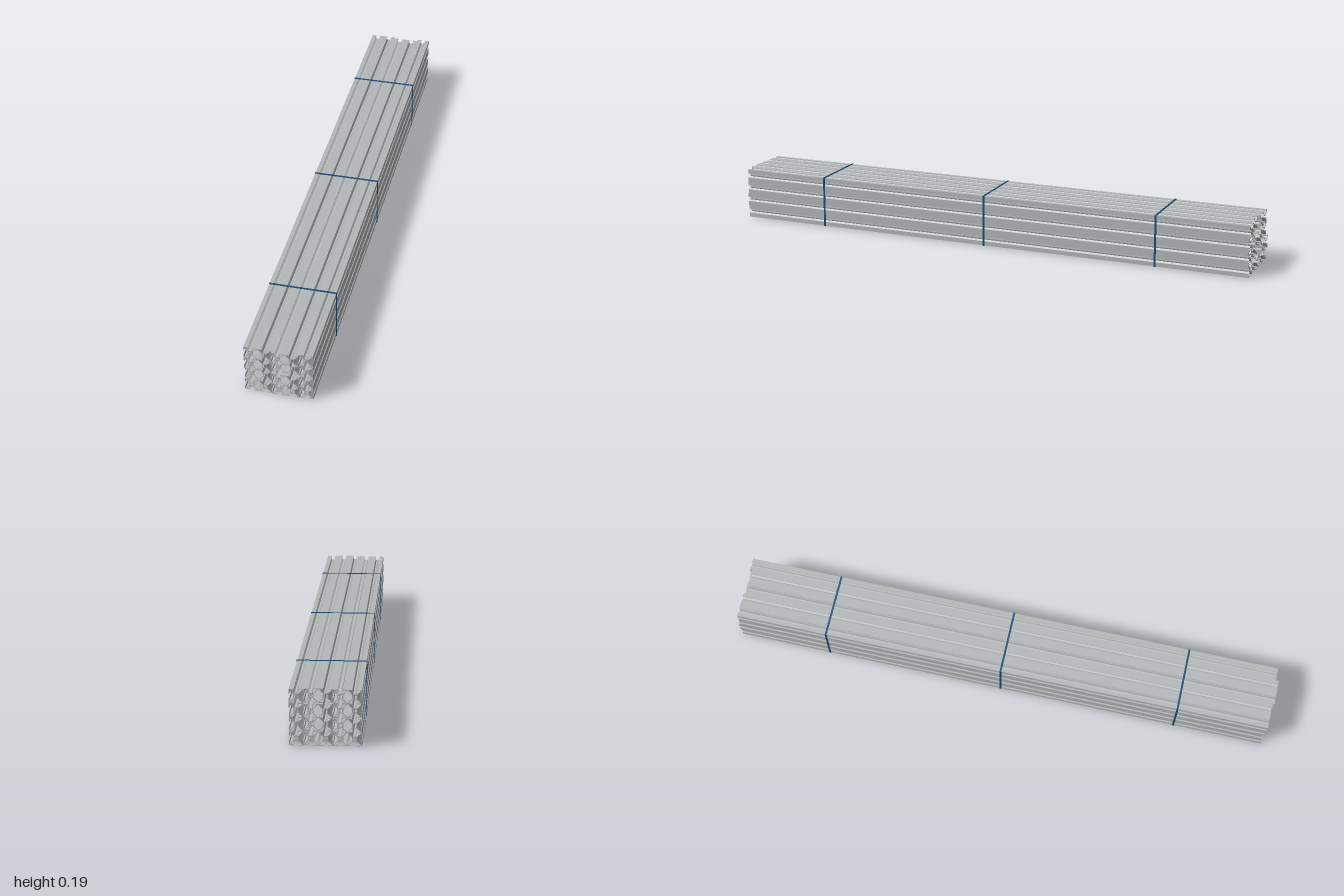
import * as THREE from 'three';
import { toCreasedNormals } from 'three/addons/utils/BufferGeometryUtils.js';

const H = 0.0234;        // half the pitch of one profile cell
const SLOT = 0.008;      // half the slot opening
const LIP = 0.002;       // lip thickness
const ARM = 0.0013;      // half the diagonal arm thickness
const CORE = 0.0092;     // core tube outer radius
const BORE = 0.0063;     // core tube inner radius
const D = ARM * Math.SQRT2;
const STRAP = 0.0015;    // strap thickness

const mirrorX = (pts) => pts.map(([x, y]) => [-x, y]).reverse();
const swapXY = (pts) => pts.map(([x, y]) => [y, x]).reverse();
const shift = (pts, dx) => pts.map(([x, y]) => [x + dx, y]);

function arc(from, to, steps) {
  return Array.from({ length: steps + 1 }, (_, i) => {
    const a = from + (to - from) * i / steps;
    return [CORE * Math.cos(a), CORE * Math.sin(a)];
  });
}

// Section of a slotted bar that is `cells` cells wide
function profileShape(cells) {
  const spread = Math.asin(ARM / CORE);
  const centre = (i) => (i - (cells - 1) / 2) * 2 * H;
  // One eighth of a cell: core, diagonal arm, underside and end of the lip
  const eighth = [
    ...arc(Math.PI / 2, Math.PI / 4 + spread, 4),
    [H - LIP - D, H - LIP], [SLOT, H - LIP], [SLOT, H],
  ];
  const corner = [...eighth, [H, H], ...swapXY(eighth)];

  const half = shift(mirrorX(corner), centre(0));
  for (let i = 0; i < cells - 1; i++) {
    half.push(...shift(eighth, centre(i)), ...shift(mirrorX(eighth), centre(i + 1)));
  }
  half.push(...shift(corner, centre(cells - 1)));

  const loop = [...half, ...half.map(([x, y]) => [-x, -y])];
  const outline = loop.filter(([x, y], i) => {
    const [px, py] = loop[(i + loop.length - 1) % loop.length];
    return Math.hypot(x - px, y - py) > 1e-6;
  });
  const toVectors = (pts) => pts.map(([x, y]) => new THREE.Vector2(x, y));
  const shape = new THREE.Shape(toVectors(outline));

  // Round bore in each cell, and a cavity between neighbouring cells
  for (let i = 0; i < cells; i++) {
    shape.holes.push(new THREE.Path().absarc(centre(i), 0, BORE, 0, Math.PI * 2, true));
    if (i < cells - 1) {
      const side = arc(-Math.PI / 4 + spread, Math.PI / 4 - spread, 6);
      shape.holes.push(new THREE.Path(toVectors([
        ...shift(side, centre(i)), [centre(i) + H, H - D],
        ...shift(side.map(([x, y]) => [-x, -y]), centre(i + 1)), [centre(i) + H, D - H],
      ])));
    }
  }
  return shape;
}

function extrude(shape, length) {
  const geo = new THREE.ExtrudeGeometry(shape, { depth: length, bevelEnabled: false, curveSegments: 10 });
  geo.translate(0, 0, -length / 2);
  return toCreasedNormals(geo, 0.75);
}

const rectangle = (Type, w, h) => new Type([
  new THREE.Vector2(-w, -h), new THREE.Vector2(w, -h),
  new THREE.Vector2(w, h), new THREE.Vector2(-w, h),
]);

export function createModel() {
  const group = new THREE.Group();
  group.name = 'barBundle';
  const metal = new THREE.MeshStandardMaterial({ color: 0xb4b8b8 });
  const blue = new THREE.MeshStandardMaterial({ color: 0x1f4a78 });

  // Four layers, each of two double bars and one single bar, ends slightly uneven
  const length = 1.985;
  const doubleBar = extrude(profileShape(2), length);
  const singleBar = extrude(profileShape(1), length);
  const columns = [
    { x: -3 * H, geo: doubleBar, name: 'doubleBar' },
    { x: H, geo: doubleBar, name: 'doubleBar' },
    { x: 4 * H, geo: singleBar, name: 'singleBar' },
  ];
  const slips = [
    [-0.002, 0, -0.003],
    [-0.0075, 0.005, 0],
    [0, -0.0075, -0.002],
    [0, 0.0075, -0.003],
  ];
  slips.forEach((row, r) => columns.forEach(({ x, geo, name }, c) => {
    const bar = new THREE.Mesh(geo, metal);
    bar.name = name;
    bar.position.set(x, STRAP + (2 * r + 1) * H, row[c]);
    group.add(bar);
  }));

  // Three thin straps around the bundle
  const band = rectangle(THREE.Shape, 5 * H + STRAP, 4 * H + STRAP);
  band.holes.push(rectangle(THREE.Path, 5 * H, 4 * H));
  const strapGeo = extrude(band, 0.007);
  for (const z of [-0.655, 0.003, 0.66]) {
    const strap = new THREE.Mesh(strapGeo, blue);
    strap.name = 'strap';
    strap.position.set(0, STRAP + 4 * H, z);
    group.add(strap);
  }
  return group;
}
